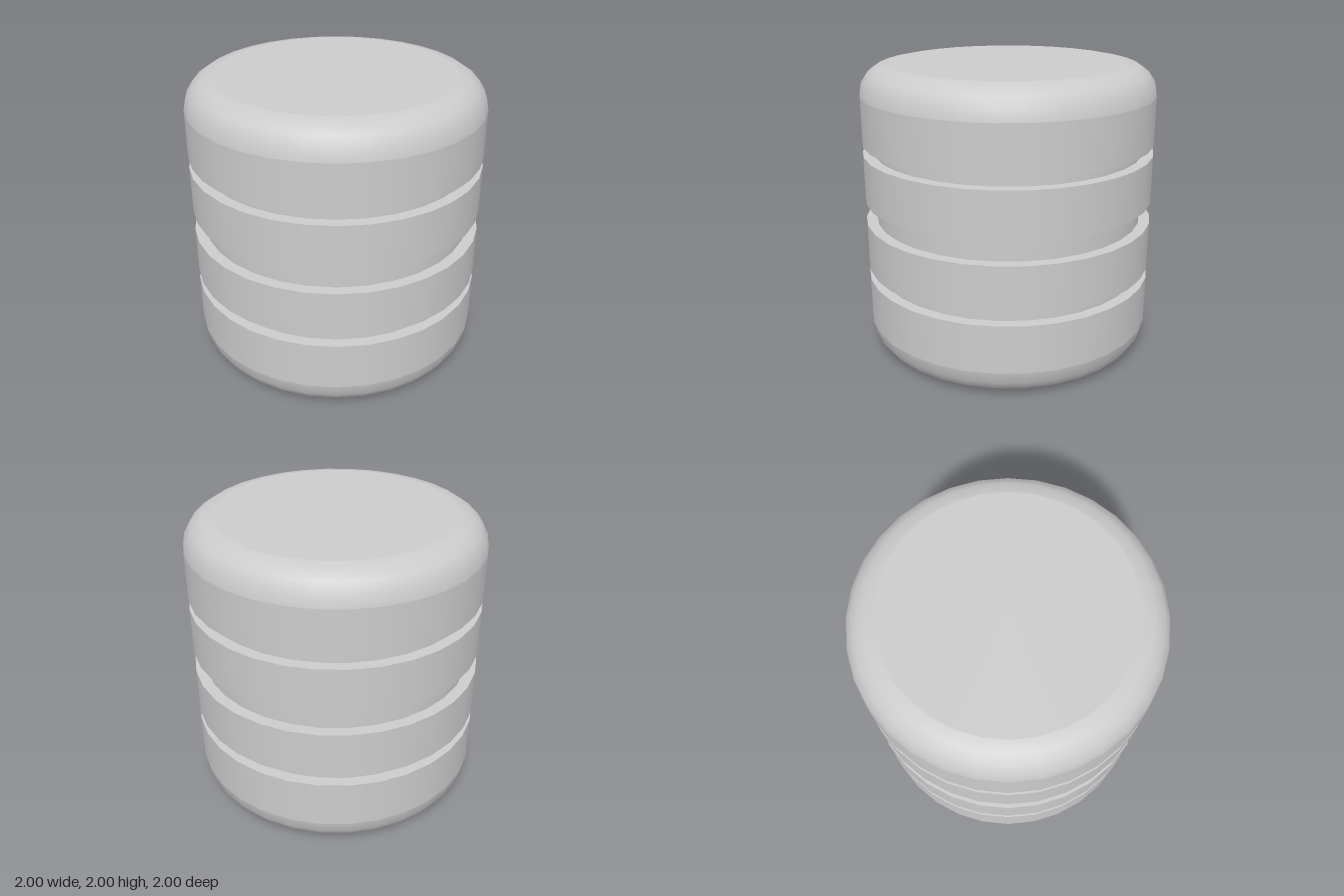
import * as THREE from 'three';

const SIDES = 32, R = 1, GROOVE_R = 0.925, BEVEL = 0.2, BEVEL_STEPS = 4;

// Lathe a list of smooth runs; each run boundary becomes a sharp edge
function lathe(name, runs, material) {
  const points = runs.flat().map(([r, y]) => new THREE.Vector2(r, y));
  const geometry = new THREE.LatheGeometry(points, SIDES);
  geometry.normalizeNormals();
  const mesh = new THREE.Mesh(geometry, material);
  mesh.name = name;
  return mesh;
}

// Quarter-round edge, from angle a0 to a1 about the bevel centre at height cy
function bevel(cy, a0, a1) {
  const run = [];
  for (let i = 0; i <= BEVEL_STEPS; i++) {
    const a = a0 + (a1 - a0) * i / BEVEL_STEPS;
    run.push([R - BEVEL + BEVEL * Math.cos(a), cy + BEVEL * Math.sin(a)]);
  }
  return run;
}

export function createModel() {
  const group = new THREE.Group();
  group.name = 'groovedDrum';
  const material = new THREE.MeshStandardMaterial({ color: 0xcccccc });

  const wall = (y0, y1) => [[R, y0], [R, y1]];
  const underside = y => [[GROOVE_R, y], [R, y]];
  const ledge = y => [[R, y], [GROOVE_R, y]];

  // Rounded bottom section
  group.add(lathe('bottomSection', [
    [[0, 0], [R - BEVEL, 0]], bevel(BEVEL, -Math.PI / 2, 0), wall(BEVEL, 0.53), ledge(0.53),
  ], material));

  // Two plain middle bands
  for (const [name, y0, y1] of [['lowerBand', 0.6, 0.93], ['upperBand', 1.077, 1.405]]) {
    group.add(lathe(name, [underside(y0), wall(y0, y1), ledge(y1)], material));
  }

  // Rounded top section
  group.add(lathe('topSection', [
    underside(1.475), wall(1.475, 2 - BEVEL), bevel(2 - BEVEL, 0, Math.PI / 2), [[R - BEVEL, 2], [0, 2]],
  ], material));

  // Recessed groove floors
  for (const [name, y0, y1] of [['lowerGroove', 0.53, 0.6], ['middleGroove', 0.93, 1.077], ['upperGroove', 1.405, 1.475]]) {
    group.add(lathe(name, [[[GROOVE_R, y0], [GROOVE_R, y1]]], material));
  }
  return group;
}
